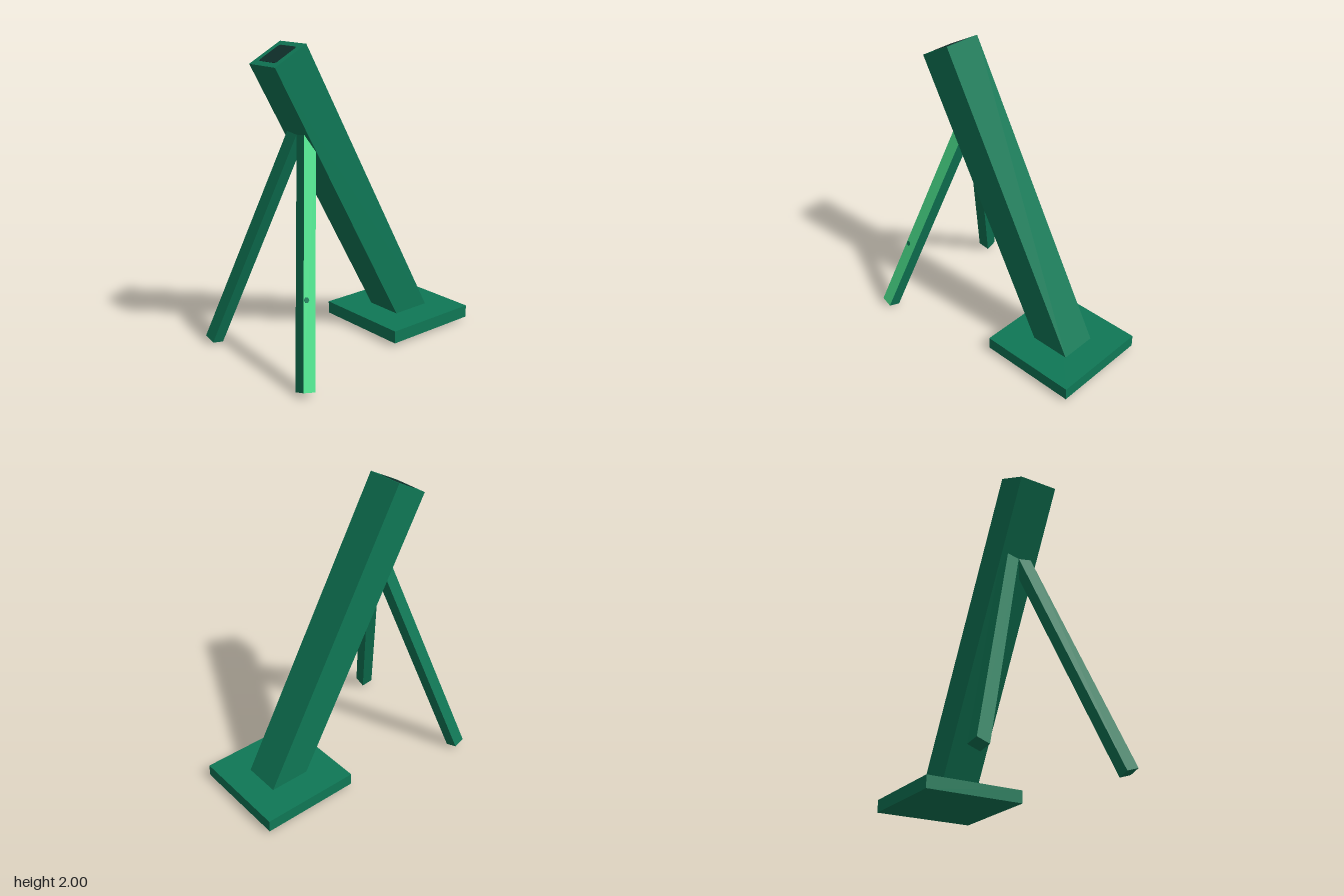
import * as THREE from 'three';

const green = new THREE.MeshStandardMaterial({ name: 'deep green', color: 0x0f7856 });
const light = new THREE.MeshStandardMaterial({ name: 'light green', color: 0x4ade8a });
const dark = new THREE.MeshStandardMaterial({ name: 'bore dark', color: 0x10302b });

function add(parent, name, geometry, material) {
  const mesh = new THREE.Mesh(geometry, material);
  mesh.name = name;
  parent.add(mesh);
  return mesh;
}

// Square bar between two points, with its front face turned towards `front`
function makeLeg(side) {
  const top = new THREE.Vector3(side * 0.045, 1.447, 0.376);
  const foot = new THREE.Vector3(side * 0.495, 0.022, 0.755);
  const up = top.clone().sub(foot);
  const length = up.length();
  up.normalize();
  const front = new THREE.Vector3(-side * 0.11, 0.22, 0.97);
  front.addScaledVector(up, -front.dot(up)).normalize();
  const across = new THREE.Vector3().crossVectors(up, front);

  const leg = new THREE.Group();
  leg.name = side > 0 ? 'leftLeg' : 'rightLeg';
  leg.quaternion.setFromRotationMatrix(new THREE.Matrix4().makeBasis(across, up, front));
  leg.position.copy(top).add(foot).multiplyScalar(0.5);

  // Only the left leg has a light outer face
  const outer = side > 0 ? light : green;
  add(leg, 'legBar', new THREE.BoxGeometry(0.085, length, 0.085),
    [outer, green, green, green, green, green]);
  if (side > 0) {
    const spot = add(leg, 'legSpot', new THREE.CylinderGeometry(0.018, 0.018, 0.004, 6), green);
    spot.rotation.z = Math.PI / 2;
    spot.position.set(0.0425, -0.235, 0.022);
  }
  return leg;
}

export function createModel() {
  const model = new THREE.Group();
  model.name = 'launchTube';

  // Base plate
  add(model, 'basePlate', new THREE.BoxGeometry(0.69, 0.085, 0.69), green)
    .position.set(0, 0.0625, -0.455);

  // Leaning square tube: side profile (z, y) extruded across x
  const profile = new THREE.Shape([
    [-0.616, 0.09], [-0.335, 0.09], [0.66, 1.878], [0.432, 2.0],
  ].map(([z, y]) => new THREE.Vector2(z, y)));
  const tube = new THREE.ExtrudeGeometry(profile, { depth: 0.258, bevelEnabled: false });
  tube.translate(0, 0, -0.129).rotateY(-Math.PI / 2);
  add(model, 'tube', tube, green);

  // Dark bore with clipped corners on the muzzle
  const w = 0.084, h = 0.088, c = 0.012;
  const opening = new THREE.Shape([
    [-w + c, -h], [w - c, -h], [w, -h + c], [w, h - c],
    [w - c, h], [-w + c, h], [-w, h - c], [-w, -h + c],
  ].map(([x, y]) => new THREE.Vector2(x, y)));
  const bore = new THREE.ExtrudeGeometry(opening, { depth: 0.004, bevelEnabled: false });
  bore.translate(0, 0, -0.002).rotateX(-Math.PI / 2);
  const muzzle = add(model, 'bore', bore, dark);
  muzzle.rotation.x = Math.atan2(0.122, 0.228);
  muzzle.position.set(0, 1.939, 0.546);

  // Bipod legs
  for (const side of [1, -1]) model.add(makeLeg(side));

  return model;
}
